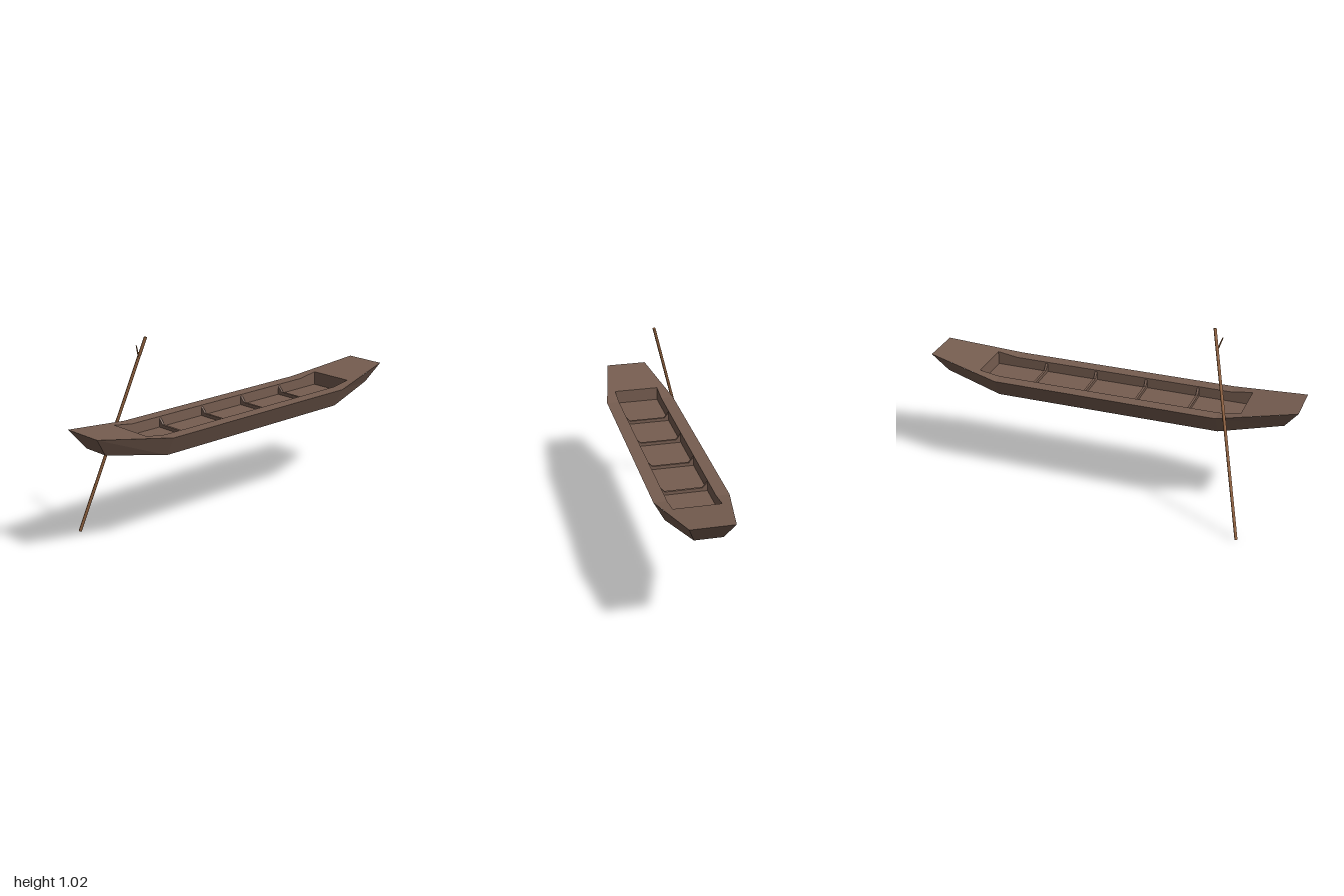
import * as THREE from 'three';

const CX = 0.08;              // hull centre line
const FLOOR = 0.53;           // cockpit floor height
const IN_X = 0.12, IN_Z = 0.713; // half size of the cockpit opening

// Hull: one quarter (x > 0, z > 0) as quads, mirrored to all four corners
function hullGeometry() {
  const railY = 0.585, lipY = 0.602, tipY = 0.645, keelY = 0.485, tipKeelY = 0.545;
  const P = (x, y, z) => [x, y, z];
  const rail0 = P(0.187, railY, 0), rail = P(0.187, railY, 0.6);
  const chine0 = P(0.133, keelY, 0), chine = P(0.133, keelY, 0.6);
  const tip = P(0.11, tipY, 1), tipChine = P(0.07, tipKeelY, 0.925);
  const in0 = P(IN_X, railY, 0), inn = P(IN_X, railY, 0.6), lip = P(IN_X, lipY, IN_Z);
  const fl0 = P(IN_X, FLOOR, 0), fl = P(IN_X, FLOOR, 0.6), flEnd = P(IN_X, FLOOR, IN_Z);
  const deckEdge = P(0.165, lipY, IN_Z);
  const mid = (y, z) => P(0, y, z);
  const quads = [
    // end deck and gunwale
    [mid(lipY, IN_Z), mid(tipY, 1), tip, deckEdge],
    [in0, inn, rail, rail0],
    [inn, lip, deckEdge, rail],
    // cockpit walls and floor
    [fl0, fl, inn, in0],
    [fl, flEnd, lip, inn],
    [mid(FLOOR, IN_Z), mid(lipY, IN_Z), lip, flEnd],
    [mid(FLOOR, 0), mid(FLOOR, IN_Z), flEnd, fl0],
    // outer sides, transom and bottom
    [chine0, rail0, rail, chine],
    [chine, rail, tip, tipChine],
    [mid(tipKeelY, 0.925), tipChine, tip, mid(tipY, 1)],
    [mid(keelY, 0), chine0, chine, mid(keelY, 0.6)],
    [mid(keelY, 0.6), chine, tipChine, mid(tipKeelY, 0.925)],
  ];
  const pos = [];
  for (const sx of [1, -1]) for (const sz of [1, -1]) {
    for (const q of quads) {
      const c = sx * sz > 0 ? q : [...q].reverse();
      for (const i of [0, 1, 2, 0, 2, 3]) pos.push(c[i][0] * sx, c[i][1], c[i][2] * sz);
    }
  }
  const g = new THREE.BufferGeometry();
  g.setAttribute('position', new THREE.Float32BufferAttribute(pos, 3));
  g.computeVertexNormals();
  return g;
}

// Tapered round stick between two points
function stick(name, a, b, rA, rB, sides, material) {
  const from = new THREE.Vector3(...a), to = new THREE.Vector3(...b);
  const dir = to.clone().sub(from);
  const mesh = new THREE.Mesh(new THREE.CylinderGeometry(rB, rA, dir.length(), sides), material);
  mesh.position.copy(from).add(to).multiplyScalar(0.5);
  mesh.quaternion.setFromUnitVectors(new THREE.Vector3(0, 1, 0), dir.normalize());
  mesh.name = name;
  return mesh;
}

export function createModel() {
  const model = new THREE.Group();
  model.name = 'boatAndPole';
  const hullWood = new THREE.MeshStandardMaterial({ color: 0x765d50 });
  hullWood.name = 'dark hull wood';
  const poleWood = new THREE.MeshStandardMaterial({ color: 0x9a6843 });
  poleWood.name = 'warm pole wood';

  const boat = new THREE.Group();
  boat.name = 'boat';
  boat.position.x = CX;
  const hull = new THREE.Mesh(hullGeometry(), hullWood);
  hull.name = 'hull';
  boat.add(hull);

  // Low cross ribs with a knee rising against each wall
  const ribShape = new THREE.Shape([
    [-IN_X, FLOOR], [IN_X, FLOOR], [IN_X, 0.576], [0.095, 0.547], [-0.095, 0.547], [-IN_X, 0.576],
  ].map(([x, y]) => new THREE.Vector2(x, y)));
  const ribGeometry = new THREE.ExtrudeGeometry(ribShape, { depth: 0.012, bevelEnabled: false });
  ribGeometry.translate(0, 0, -0.006);
  for (const z of [-0.43, -0.145, 0.137, 0.422]) {
    const rib = new THREE.Mesh(ribGeometry, hullWood);
    rib.name = 'rib';
    rib.position.z = z;
    boat.add(rib);
  }
  model.add(boat);

  // Punting pole with a small twig near its top
  const pole = new THREE.Group();
  pole.name = 'pole';
  pole.add(stick('poleShaft', [-0.263, 0.003, 0.775], [0.009, 1.022, 0.549], 0.008, 0.008, 8, poleWood));
  pole.add(stick('poleTwig', [-0.016, 0.92, 0.573], [-0.006, 0.985, 0.595], 0.004, 0.003, 6, poleWood));
  model.add(pole);
  return model;
}
